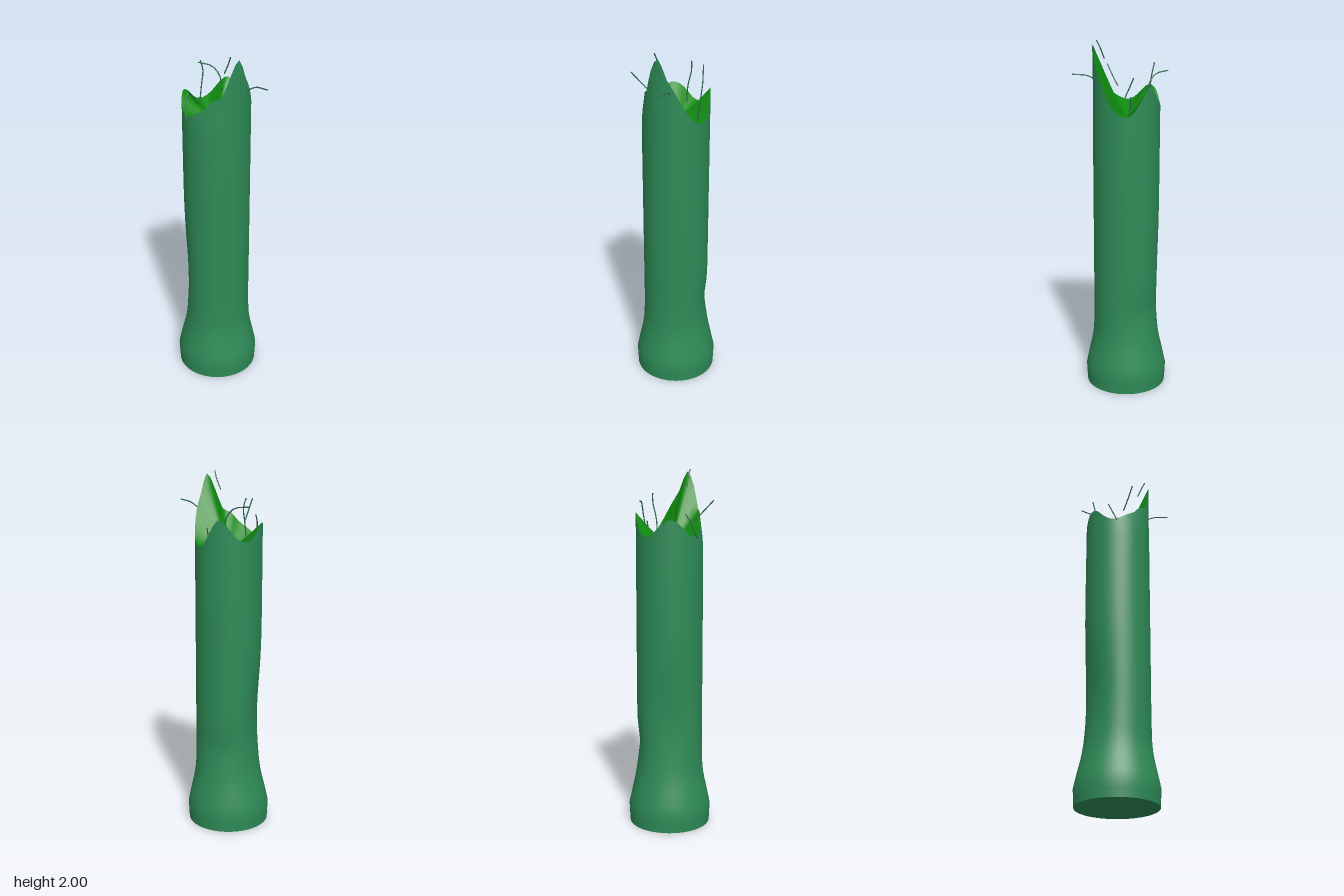
import * as THREE from 'three';

const SEG = 48, CX = -0.04, CZ = -0.005;
const rad = THREE.MathUtils.degToRad;

// rim height every 15 degrees, from +x towards +z
const RIM = [1.80, 1.88, 1.985, 1.91, 1.79, 1.77, 1.72, 1.69, 1.66, 1.65, 1.68, 1.73,
  1.74, 1.71, 1.66, 1.65, 1.68, 1.74, 1.77, 1.70, 1.63, 1.62, 1.645, 1.71];
const BODY = [[0, 0.228], [0.1, 0.233], [0.2, 0.212], [0.28, 0.194], [0.36, 0.187], [0.5, 0.185], [2.1, 0.185]];

function rimHeight(a) {
  const n = RIM.length, t = a / (2 * Math.PI) * n, i = Math.floor(t), f = t - i;
  const p = k => RIM[(i + k + n) % n];
  return p(0) + 0.5 * f * (p(1) - p(-1) + f * (2 * p(-1) - 5 * p(0) + 4 * p(1) - p(2)
    + f * (3 * (p(0) - p(1)) + p(2) - p(-1))));
}

// soft dent centred on an angle and a height
function dent(a, y, a0, y0, wa, wy, depth) {
  const d = Math.atan2(Math.sin(a - rad(a0)), Math.cos(a - rad(a0)));
  return depth * Math.exp(-((d / rad(wa)) ** 2) - (((y - y0) / wy) ** 2));
}

function radius(a, y) {
  let k = 0;
  while (y > BODY[k + 1][0]) k++;
  const [y0, r0] = BODY[k], [y1, r1] = BODY[k + 1];
  return r0 + (r1 - r0) * (y - y0) / (y1 - y0)
    - dent(a, y, 180, 0.62, 40, 0.28, 0.03)
    - dent(a, y, -90, 0.47, 40, 0.1, 0.015)
    - dent(a, y, 92, 1.78, 35, 0.12, 0.02);
}

function wallPoint(a, y, scale = 1) {
  const r = radius(a, y) * scale;
  return [CX + r * Math.cos(a), y, CZ + r * Math.sin(a)];
}

// closed rings of points, joined in order
function loft(rows, point) {
  const pos = [], idx = [];
  for (let j = 0; j <= rows; j++)
    for (let i = 0; i < SEG; i++) pos.push(...point(i / SEG * 2 * Math.PI, j));
  for (let j = 0; j < rows; j++)
    for (let i = 0; i < SEG; i++) {
      const a = j * SEG + i, b = j * SEG + (i + 1) % SEG;
      idx.push(a, a + SEG, b, b, a + SEG, b + SEG);
    }
  const g = new THREE.BufferGeometry();
  g.setAttribute('position', new THREE.Float32BufferAttribute(pos, 3));
  g.setIndex(idx);
  g.computeVertexNormals();
  return g;
}

export function createModel() {
  const group = new THREE.Group();
  const bark = new THREE.MeshStandardMaterial({ color: 0x2e8b57 });
  const pith = new THREE.MeshStandardMaterial({ color: 0x0f8a0f });
  const twigMat = new THREE.MeshStandardMaterial({ color: 0x2f6b50 });
  const add = (geometry, material, name) => {
    const m = new THREE.Mesh(geometry, material);
    m.name = name;
    group.add(m);
    return m;
  };

  // outer wall: level rings below, stretched up to the jagged rim above
  const low = 30, high = 6;
  add(loft(low + high, (a, j) => {
    const y = j <= low ? 1.5 * j / low : 1.5 + (rimHeight(a) - 1.5) * (j - low) / high;
    return wallPoint(a, y);
  }), bark, 'trunkWall');

  // broken inside, falling from the rim to the middle
  const rings = 6, centreY = 1.58;
  add(loft(rings, (a, j) => {
    const s = Math.max(1 - j / rings, 0.002), top = rimHeight(a);
    const [x, , z] = wallPoint(a, top);
    return [CX + (x - CX) * s, centreY + (top - centreY) * s ** 1.1, CZ + (z - CZ) * s];
  }), pith, 'brokenInside');

  // flat underside
  add(loft(1, (a, j) => wallPoint(a, 0, j ? 1 : 0.002)), bark, 'underside');

  // thin bent twigs around the break
  const twigs = [
    [[-0.205, 1.84, -0.155], [-0.12, 1.83, -0.152], [-0.075, 1.78, -0.148], [-0.058, 1.68, -0.135]],
    [[-0.165, 1.88, -0.09], [-0.15, 1.83, -0.09], [-0.152, 1.75, -0.072], [-0.16, 1.65, -0.065]],
    [[0.08, 2.0, 0.105], [0.065, 1.96, 0.092], [0.04, 1.9, 0.088]],
    [[-0.098, 1.84, 0.235], [-0.092, 1.77, 0.17], [-0.09, 1.73, 0.13]],
    [[0.27, 1.84, 0.073], [0.195, 1.83, 0.038], [0.143, 1.8, 0.024]],
    [[-0.165, 1.77, 0.085], [-0.165, 1.72, 0.115], [-0.148, 1.64, 0.148]],
    [[0.04, 1.72, -0.133], [0.035, 1.66, -0.125], [0.036, 1.59, -0.122]],
  ];
  for (const points of twigs) {
    const curve = new THREE.CatmullRomCurve3(points.map(p => new THREE.Vector3(...p)));
    add(new THREE.TubeGeometry(curve, 8, 0.0035, 5), twigMat, 'twig').material.side = THREE.DoubleSide;
  }
  return group;
}
